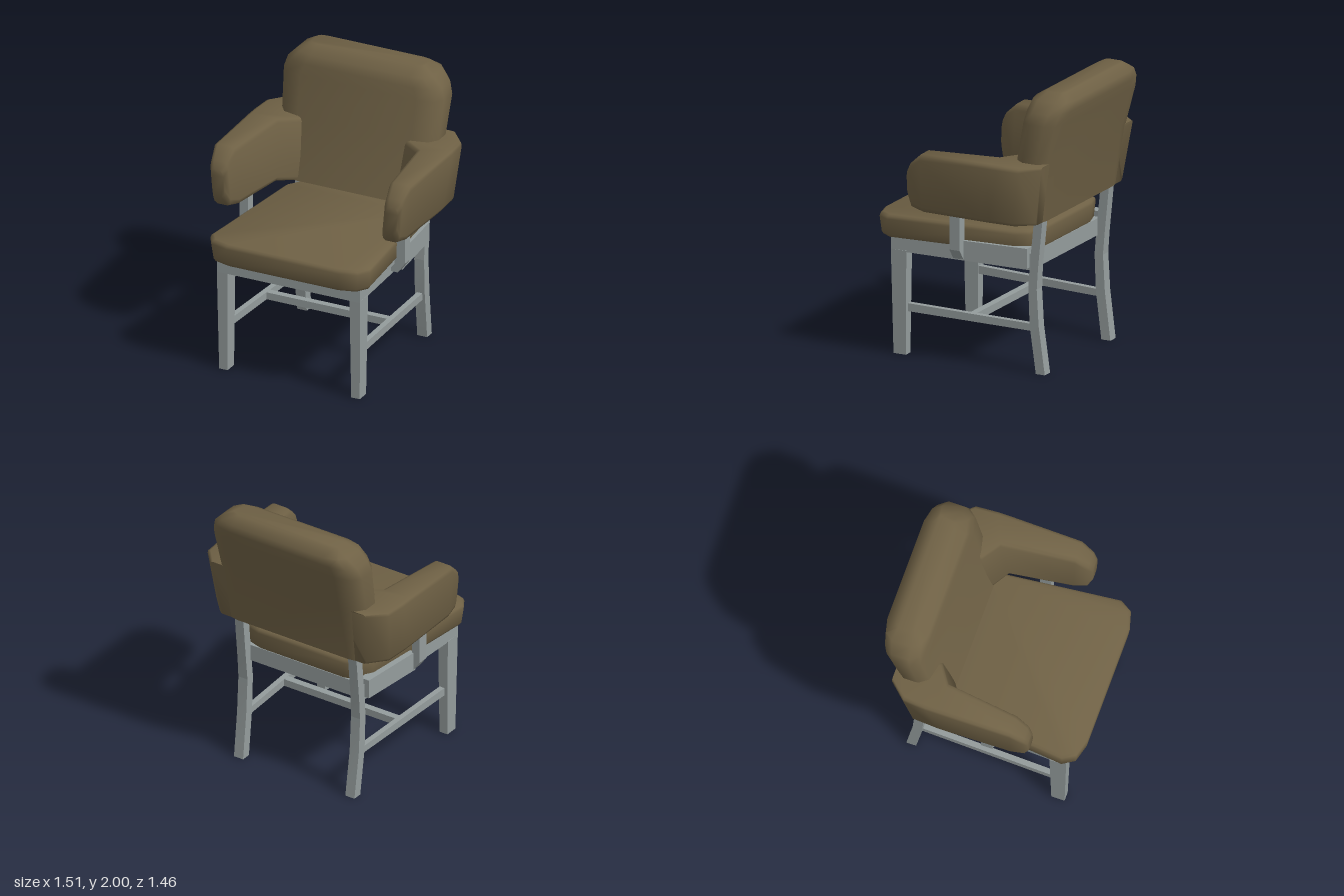
import * as THREE from 'three';
import { toCreasedNormals } from 'three/addons/utils/BufferGeometryUtils.js';

const upholstery = new THREE.MeshStandardMaterial({ name: 'brown upholstery', color: 0x6f6145 });
const metal = new THREE.MeshStandardMaterial({ name: 'grey frame', color: 0x949c9c });

// Rectangle outline, counter-clockwise; corners rounded in two steps when radii are given
function outline(a0, a1, b0, b1, ra = 0, rb = 0) {
  const corners = [[a1, b1, 1, 1], [a0, b1, -1, 1], [a0, b0, -1, -1], [a1, b0, 1, -1]];
  if (!ra) return corners.map(([a, b]) => [a, b]);
  const points = [];
  corners.forEach(([a, b, sa, sb], k) => {
    for (let i = 0; i < 3; i++) {
      const t = (k * 2 + i) * Math.PI / 4;
      points.push([a - sa * ra + ra * Math.cos(t), b - sb * rb + rb * Math.sin(t)]);
    }
  });
  return points;
}

// Closed skin through a list of rings, with flat ends
function loft(rings, crease) {
  const n = rings[0].length, index = [], last = (rings.length - 1) * n;
  for (let k = 0; k < rings.length - 1; k++) {
    for (let i = 0; i < n; i++) {
      const j = (i + 1) % n, p = k * n;
      index.push(p + i, p + j, p + n + j, p + i, p + n + j, p + n + i);
    }
  }
  for (let i = 1; i < n - 1; i++) {
    index.push(0, i + 1, i, last, last + i, last + i + 1);
  }
  const geometry = new THREE.BufferGeometry();
  geometry.setAttribute('position', new THREE.Float32BufferAttribute(rings.flat(2), 3));
  geometry.setIndex(index);
  return toCreasedNormals(geometry, crease);
}

// Sections stacked upwards: [y, x0, x1, zBack, zFront, rx, rz]
function loftY(sections, crease = 0.1, warp = (p) => p) {
  return loft(sections.map(([y, x0, x1, zb, zf, rx, rz]) =>
    outline(x0, x1, -zf, -zb, rx, rz).map(([a, b]) => warp([a, y, -b]))), crease);
}

// Sections running from back to front: [z, x0, x1, y0, y1, rx, ry, shear]
function loftZ(sections, crease = 0.1, warp = (p) => p) {
  return loft(sections.map(([z, x0, x1, y0, y1, rx, ry, shear = 0]) =>
    outline(x0, x1, y0, y1, rx, ry).map(([a, b]) => warp([a, b, z - shear * (b - 1.09)]))), crease);
}

// Swap the two x limits of every section for the opposite side
const mirror = (sections, side) => side > 0 ? sections
  : sections.map(([p, x0, x1, ...rest]) => [p, -x1, -x0, ...rest]);

function add(parent, name, geometry, material) {
  const mesh = new THREE.Mesh(geometry, material);
  mesh.name = name;
  parent.add(mesh);
}

export function createModel() {
  const chair = new THREE.Group();
  chair.name = 'armchair';
  const frame = new THREE.Group();
  frame.name = 'frame';
  frame.position.x = -0.01;
  chair.add(frame);

  // Seat cushion, narrowing towards the back
  add(chair, 'seatCushion', loftY([
    [0.84, -0.585, 0.585, -0.43, 0.71, 0.17, 0.11],
    [0.86, -0.598, 0.598, -0.44, 0.72, 0.18, 0.12],
    [0.97, -0.61, 0.61, -0.45, 0.73, 0.18, 0.12],
    [0.99, -0.603, 0.603, -0.445, 0.725, 0.18, 0.12],
    [1.0, -0.585, 0.585, -0.43, 0.71, 0.17, 0.11],
  ], 1.2, ([x, y, z]) => [x * (1 - 0.2 * Math.max(0, 0.45 - z)), y, z]), upholstery);

  // Backrest, leaning back and rounded at the top
  add(chair, 'backrest', loftY([
    [1.09, -0.6, 0.6, -0.55, -0.23, 0.14, 0.07],
    [1.52, -0.595, 0.595, -0.625, -0.34, 0.16, 0.09],
    [1.8, -0.61, 0.61, -0.695, -0.395, 0.17, 0.09],
    [1.88, -0.585, 0.585, -0.715, -0.41, 0.17, 0.09],
    [1.95, -0.515, 0.515, -0.728, -0.425, 0.14, 0.08],
    [2.0, -0.43, 0.43, -0.66, -0.51, 0.06, 0.03],
  ], 1.2), upholstery);

  // Padded arms, wrapping into the backrest and flaring outwards
  const arm = [
    [-0.54, 0.36, 0.6, 1.09, 1.52, 0.02, 0.02, 0.15],
    [-0.42, 0.36, 0.71, 1.09, 1.52, 0.03, 0.03, 0.15],
    [-0.24, 0.36, 0.72, 1.09, 1.52, 0.03, 0.03, 0.2],
    [-0.16, 0.49, 0.72, 1.09, 1.52, 0.03, 0.03, 0.18],
    [0.28, 0.55, 0.715, 1.09, 1.51, 0.03, 0.04],
    [0.37, 0.57, 0.705, 1.11, 1.43, 0.03, 0.05],
    [0.4, 0.595, 0.69, 1.18, 1.38, 0.03, 0.05],
  ];

  const frontLeg = [
    [0, 0.47, 0.535, 0.51, 0.605],
    [0.74, 0.465, 0.545, 0.5, 0.62],
  ];
  const rearLeg = [
    [0, 0.42, 0.495, -0.545, -0.475],
    [0.34, 0.425, 0.5, -0.5, -0.43],
    [0.6, 0.425, 0.5, -0.485, -0.42],
    [0.75, 0.43, 0.5, -0.495, -0.43],
    [1.2, 0.43, 0.5, -0.54, -0.475],
  ];
  const armPost = [
    [0.755, 0.5, 0.575, 0.04, 0.12],
    [0.83, 0.565, 0.63, 0.04, 0.12],
    [1.15, 0.565, 0.63, 0.04, 0.12],
  ];
  const sidePlate = [
    [-0.43, 0.46, 0.535, 0.75, 0.89],
    [0.06, 0.51, 0.58, 0.75, 0.89],
  ];
  const sideStretcher = [
    [-0.45, 0.44, 0.48, 0.295, 0.345],
    [0.53, 0.475, 0.515, 0.305, 0.362],
  ];

  for (const side of [1, -1]) {
    const prefix = side > 0 ? 'left' : 'right';
    add(chair, prefix + 'Arm', loftZ(mirror(arm, side), 1.2,
      ([x, y, z]) => [x + side * 0.09 * (y - 1.09), y, z]), upholstery);
    add(frame, prefix + 'FrontLeg', loftY(mirror(frontLeg, side)), metal);
    add(frame, prefix + 'RearLeg', loftY(mirror(rearLeg, side)), metal);
    add(frame, prefix + 'ArmPost', loftY(mirror(armPost, side)), metal);
    add(frame, prefix + 'SidePlate', loftZ(mirror(sidePlate, side)), metal);
    add(frame, prefix + 'SideStretcher', loftZ(mirror(sideStretcher, side)), metal);
  }

  // Seat base, wider at the front
  add(frame, 'seatBase', loftZ([
    [-0.44, -0.5, 0.5, 0.73, 0.85],
    [0.62, -0.545, 0.545, 0.73, 0.85],
  ]), metal);

  // Bar joining the two side stretchers
  add(frame, 'crossStretcher', loftZ([
    [0, -0.465, 0.465, 0.3, 0.352],
    [0.05, -0.465, 0.465, 0.3, 0.352],
  ]), metal);

  return chair;
}
